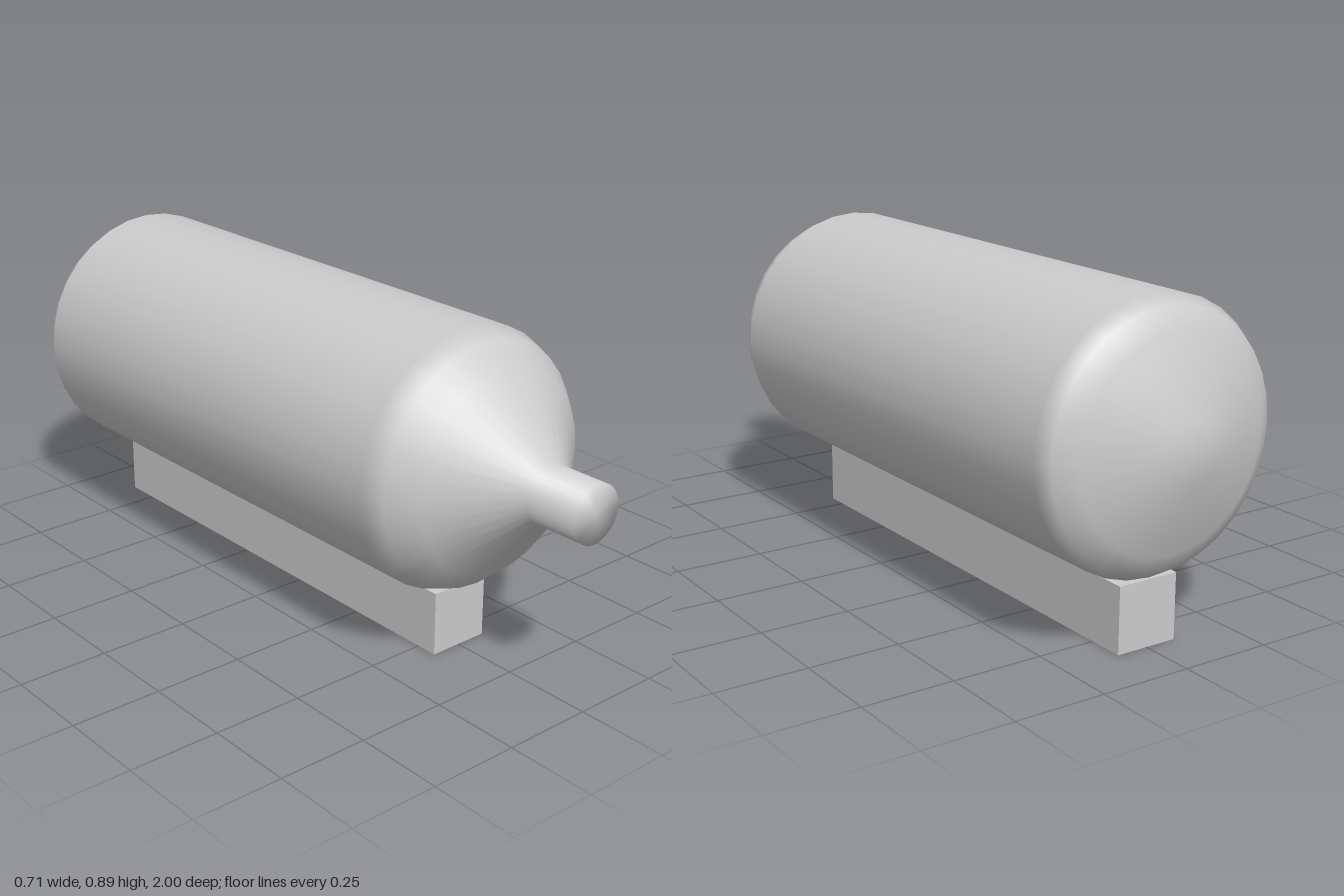
import * as THREE from 'three';

export function createModel() {
  const model = new THREE.Group();
  const grey = new THREE.MeshStandardMaterial({ color: 0xcccccc });
  grey.name = 'light grey';

  // Tank with domed back, tapered shoulder and neck: [radius, z] from back to front
  const profile = [
    [0, -1], [0.078, -1], [0.275, -0.925], [0.33, -0.89], [0.353, -0.85],
    [0.353, 0.56], [0.33, 0.62], [0.27, 0.69], [0.078, 0.85], [0.078, 1], [0, 1],
  ].map(([r, z]) => new THREE.Vector2(r, z));
  const tankGeometry = new THREE.LatheGeometry(profile, 32);
  tankGeometry.rotateX(Math.PI / 2);
  const tank = new THREE.Mesh(tankGeometry, grey);
  tank.name = 'tank';
  tank.position.y = 0.536;
  model.add(tank);

  // Long block beneath the straight part of the tank
  const base = new THREE.Mesh(new THREE.BoxGeometry(0.176, 0.178, 1.41), grey);
  base.name = 'base';
  base.position.set(0, 0.089, -0.145);
  model.add(base);

  return model;
}
